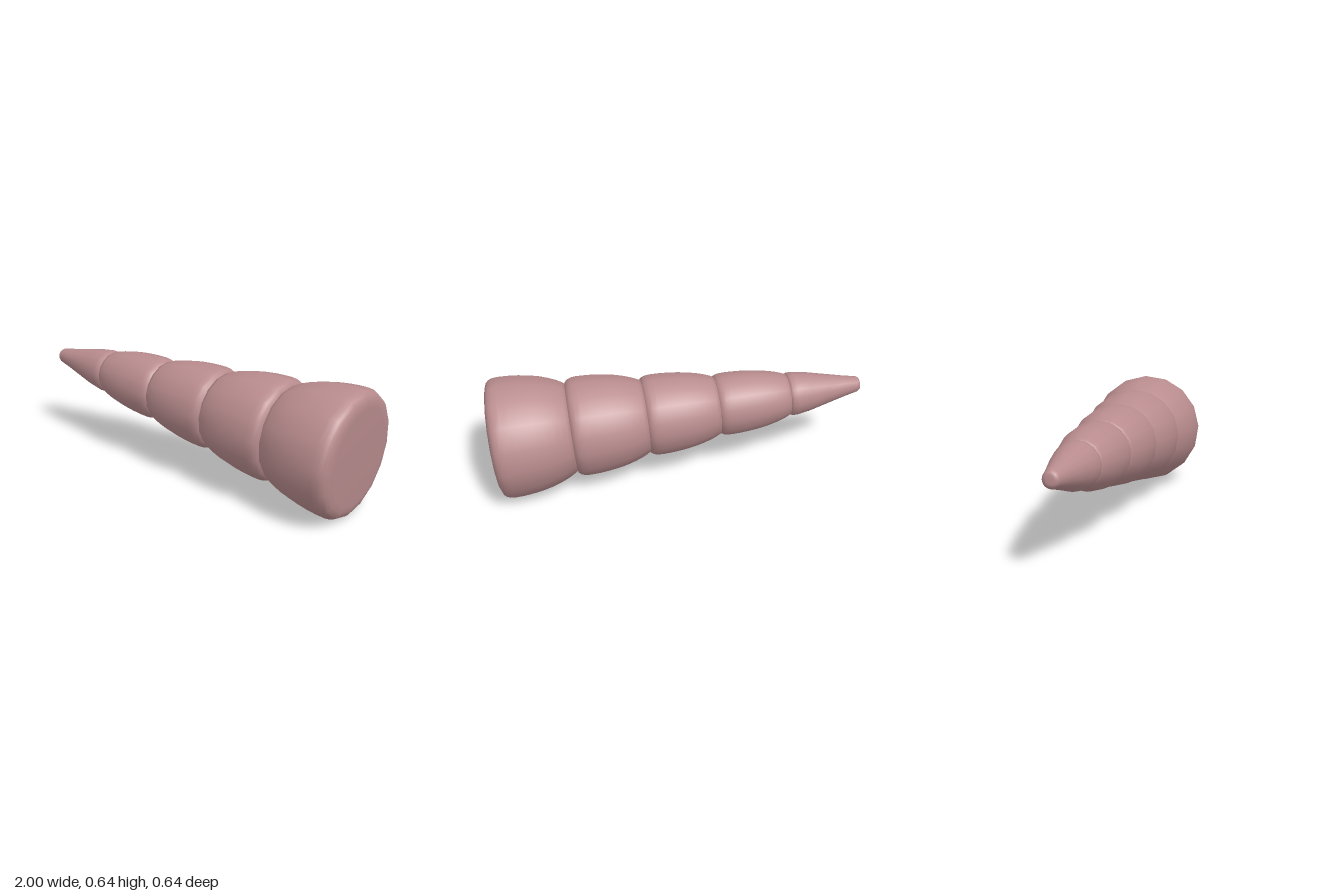
import * as THREE from 'three';

const SIDES = 16;

// Points are [distance along the horn, radius], tip to base.
function turned(name, points, material) {
  const profile = points.map(([d, r]) => new THREE.Vector2(r, d));
  const mesh = new THREE.Mesh(new THREE.LatheGeometry(profile, SIDES), material);
  mesh.name = name;
  return mesh;
}

export function createModel() {
  const material = new THREE.MeshStandardMaterial({ color: 0xb98c8e });
  const horn = new THREE.Group();
  horn.name = 'horn';

  // Blunt conical tip
  horn.add(turned('tip', [
    [-0.997, 0], [-0.997, 0.02], [-0.993, 0.033], [-0.98, 0.042], [-0.9, 0.059],
    [-0.8, 0.083], [-0.7, 0.107], [-0.63, 0.118], [-0.605, 0.117],
    [-0.592, 0.108], [-0.587, 0.09], [-0.587, 0],
  ], material));

  // Bulging rings: [start, end, neck radius, widest radius]
  const rings = [
    [-0.592, -0.195, 0.112, 0.169],
    [-0.203, 0.19, 0.156, 0.217],
    [0.18, 0.58, 0.194, 0.265],
    [0.568, 0.977, 0.232, 0.321],
  ];
  // Share of the length, share of the swell from neck to widest
  const swell = [[0, 0], [0.05, 0.16], [0.13, 0.36], [0.22, 0.53], [0.33, 0.70],
    [0.45, 0.83], [0.58, 0.925], [0.7, 0.98], [0.82, 1]];
  // Rounded rim: share of the length, share of the widest radius
  const rim = [[0.89, 0.99], [0.935, 0.965], [0.967, 0.925], [0.988, 0.86], [1, 0.76], [1, 0]];

  rings.forEach(([start, end, neck, wide], i) => {
    const at = (t) => start + (end - start) * t;
    horn.add(turned('ring' + (i + 1), [
      [start, 0], [start, neck * 0.9],
      ...swell.map(([t, f]) => [at(t), neck + (wide - neck) * f]),
      ...rim.map(([t, f]) => [at(t), wide * f]),
    ], material));
  });

  // Lay the horn along x, tip raised and turned slightly forward
  const axis = new THREE.Vector3(1, -0.067, -0.063);
  horn.scale.y = axis.length();
  horn.quaternion.setFromUnitVectors(new THREE.Vector3(0, 1, 0), axis.normalize());
  horn.position.set(0, 0.384, 0.056);

  const model = new THREE.Group();
  model.name = 'ringedHorn';
  model.add(horn);
  return model;
}
